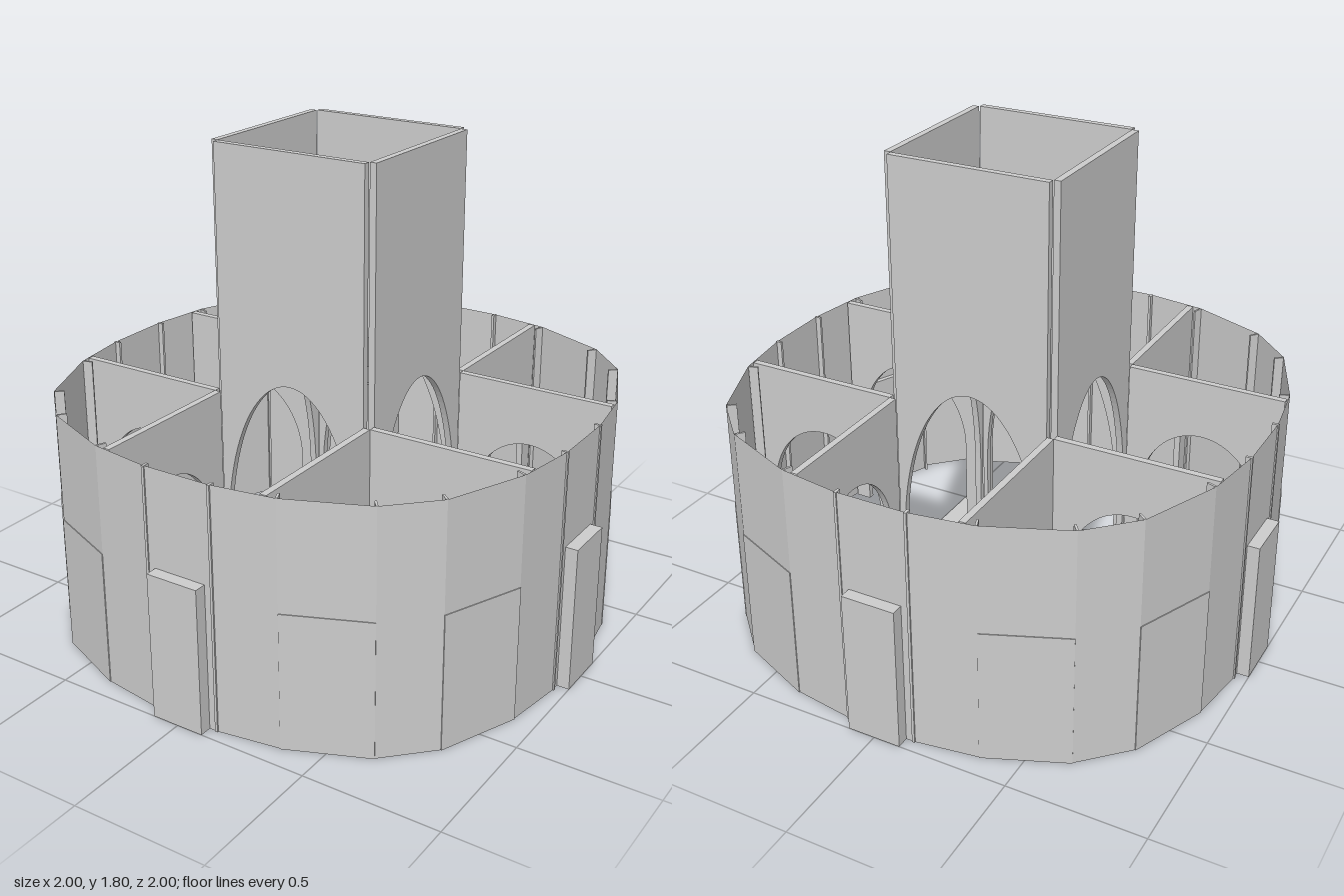
import * as THREE from 'three';

const grey = new THREE.MeshStandardMaterial({ color: 0xcccccc, flatShading: true });
const sheet = new THREE.MeshStandardMaterial({ color: 0xcccccc, flatShading: true, side: THREE.DoubleSide });

const WALL_H = 0.9, TOWER_H = 1.8, THICK = 0.025;

function add(parent, name, geometry, material, x = 0, y = 0, z = 0, ry = 0) {
  const mesh = new THREE.Mesh(geometry, material);
  mesh.name = name;
  mesh.position.set(x, y, z);
  mesh.rotation.y = ry;
  parent.add(mesh);
  return mesh;
}

// Upright slab with an arched doorway open at the floor
function archedSlab(x0, x1, height, cx, half, spring, rise) {
  const s = new THREE.Shape();
  s.moveTo(x0, 0);
  s.lineTo(cx - half, 0);
  s.lineTo(cx - half, spring);
  s.absellipse(cx, spring, half, rise, Math.PI, 0, true);
  s.lineTo(cx + half, 0);
  s.lineTo(x1, 0);
  s.lineTo(x1, height);
  s.lineTo(x0, height);
  return new THREE.ExtrudeGeometry(s, { depth: THICK, bevelEnabled: false, curveSegments: 24 });
}

// Place geometry of the given kind along the ground line from p to q, facing outwards
function along(parent, name, p, q, height, depth, offset) {
  const dx = q[0] - p[0], dz = q[1] - p[1], w = Math.hypot(dx, dz);
  const nx = -dz / w, nz = dx / w;
  const geo = depth ? new THREE.BoxGeometry(w, height, depth) : new THREE.PlaneGeometry(w, height);
  return add(parent, name, geo, depth ? grey : sheet,
    (p[0] + q[0]) / 2 + nx * offset, height / 2, (p[1] + q[1]) / 2 + nz * offset, Math.atan2(nx, nz));
}

// One quarter: ring wall, doors, ribs, tower side and cross walls
function quarter() {
  const g = new THREE.Group();
  const pts = [[-0.13, 0.955], [0.13, 0.955], [0.36, 0.92], [0.645, 0.8], [0.8, 0.645], [0.92, 0.36], [0.955, 0.13]];
  for (let i = 0; i < pts.length - 1; i++) along(g, 'ringWall', pts[i], pts[i + 1], WALL_H, 0, 0);

  // Low doors on the oblique faces, just proud of the wall
  for (const i of [2, 4]) {
    along(g, 'sideDoor', pts[i], pts[i + 1], 0.5, 0.022, -0.008);
    // Ribs inside the wall at both door ends
    for (const j of [i, i + 1]) {
      const [x, z] = pts[j], r = Math.hypot(x, z), k = 1 - 0.02 / r;
      add(g, 'innerRib', new THREE.BoxGeometry(0.008, WALL_H, 0.035), grey, x * k, WALL_H / 2, z * k, Math.atan2(x, z));
    }
  }

  // Main door and its jambs
  add(g, 'mainDoor', new THREE.BoxGeometry(0.2, 0.54, 0.045), grey, 0, 0.27, 0.9775);
  for (const s of [-1, 1])
    add(g, 'doorJamb', new THREE.BoxGeometry(0.01, WALL_H, 0.025), grey, s * 0.13, WALL_H / 2, 0.947);

  // Tower side with tall arch
  add(g, 'towerWall', archedSlab(-0.298, 0.298, TOWER_H, 0, 0.28, 0.335, 0.645), grey, 0, 0, 0.3);

  // Cross walls running on from the tower side to the ring
  const cross = archedSlab(0.325, 0.922, WALL_H, 0.62, 0.24, 0.38, 0.3);
  add(g, 'crossWall', cross, grey, 0, 0, 0.3);
  add(g, 'crossWall', cross, grey, 0, 0, -0.325);
  return g;
}

export function createModel() {
  const model = new THREE.Group();
  model.name = 'roundHall';

  for (let i = 0; i < 4; i++) {
    const q = quarter();
    q.name = 'quarter' + (i + 1);
    // Each pair of opposite cross walls is made once
    q.rotation.y = i * Math.PI / 2;
    model.add(q);
  }

  // Thin square floor
  const floor = add(model, 'floor', new THREE.PlaneGeometry(1, 1), sheet, 0, 0.001, 0);
  floor.rotation.x = -Math.PI / 2;
  return model;
}
